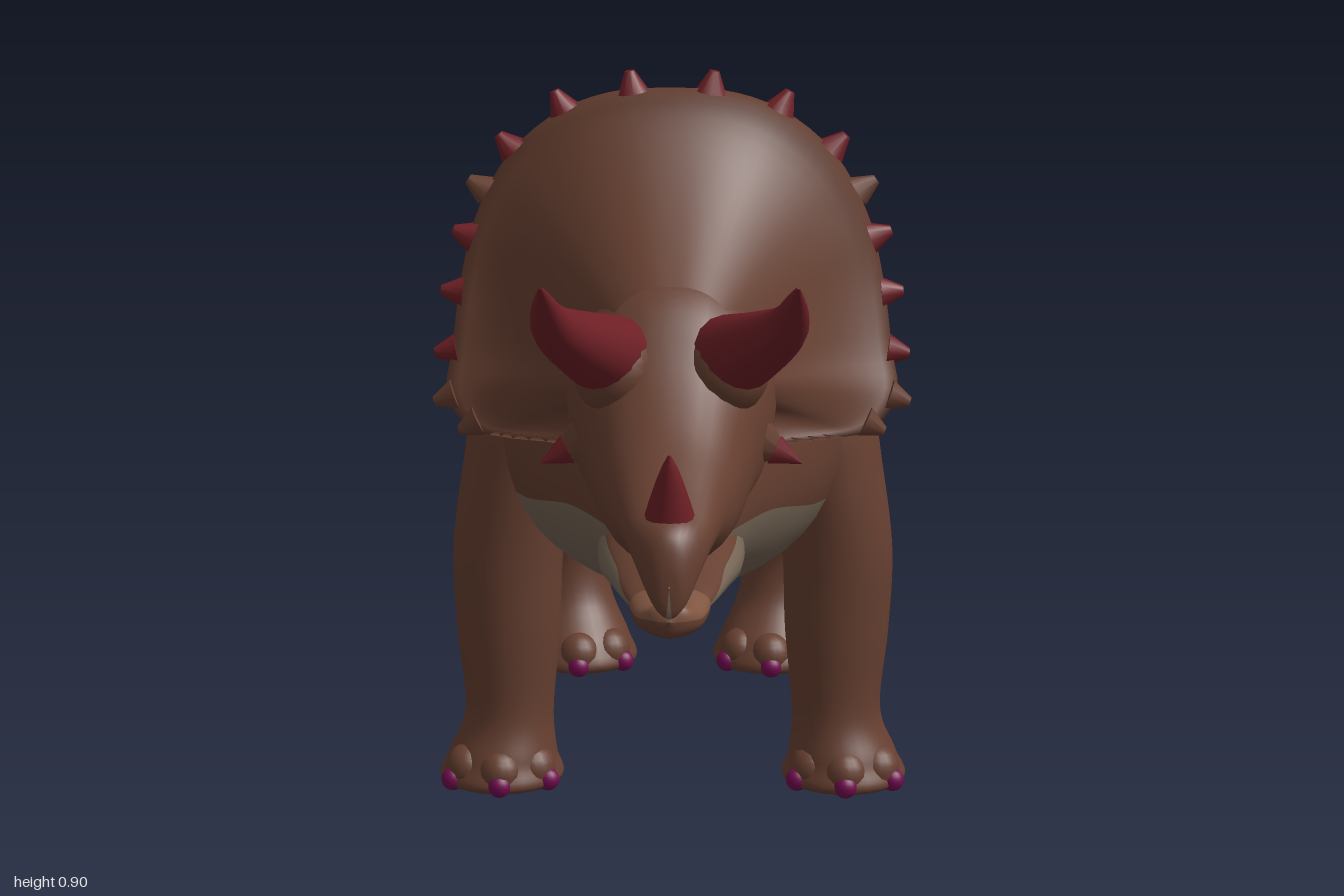
import * as THREE from 'three';

const paint = (name, color) => Object.assign(new THREE.MeshStandardMaterial({ color }), { name });
const V = (x, y, z) => new THREE.Vector3(x, y, z);

// Smooth interpolation through a short list of cross-section rows, v in 0..1
function sampler(rows) {
  const f = new THREE.CubicInterpolant(rows.map((_, i) => i), rows.flat(), rows[0].length);
  return v => Array.from(f.evaluate(v * (rows.length - 1)));
}

// Surface from point(u, v); pick(u, v) gives the material index of each cell
function surface(nu, nv, closed, point, pick) {
  const pos = [], buckets = [[], [], []], cols = closed ? nu : nu + 1;
  for (let j = 0; j <= nv; j++)
    for (let i = 0; i < cols; i++) pos.push(...point(i / nu, j / nv));
  for (let j = 0; j < nv; j++)
    for (let i = 0; i < nu; i++) {
      const a = j * cols + i, b = j * cols + (i + 1) % cols, c = a + cols, d = b + cols;
      buckets[pick((i + 0.5) / nu, (j + 0.5) / nv)].push(a, b, c, b, d, c);
    }
  const g = new THREE.BufferGeometry();
  g.setAttribute('position', new THREE.Float32BufferAttribute(pos, 3));
  g.setIndex(buckets.flat());
  let start = 0;
  buckets.forEach((b, m) => {
    if (b.length) g.addGroup(start, b.length, m);
    start += b.length;
  });
  g.computeVertexNormals();
  return g;
}

// Loft along z from rows [z, top, bottom, halfWidth, bellyLine]; the belly is material 1
function loftZ(rows, nv) {
  const at = sampler(rows), split = 0.62, power = 0.9;
  return surface(44, nv, true, (u, v) => {
    const [z, top, bot, hw, belly] = at(v);
    const cy = (top + bot) / 2, ry = Math.max((top - bot) / 2, 0.001);
    const k = THREE.MathUtils.clamp((belly - cy) / ry, -0.98, 0.5);
    const a0 = Math.asin(Math.sign(k) * Math.abs(k) ** (1 / power));
    const th = u < split ? a0 + (Math.PI - 2 * a0) * u / split
      : Math.PI - a0 + (Math.PI + 2 * a0) * (u - split) / (1 - split);
    const c = Math.cos(th), s = Math.sin(th);
    // the underside is a little keeled
    return [Math.sign(c) * Math.abs(c) ** (s < 0 ? 1.15 : power) * Math.max(hw, 0.001),
      cy + ry * Math.sign(s) * Math.abs(s) ** power, z];
  }, u => (u < split ? 0 : 1));
}

// Curved horn that tapers to a point
function horn(points, r) {
  const curve = new THREE.CatmullRomCurve3(points), n = 20, sides = 16;
  const g = new THREE.TubeGeometry(curve, n, r, sides), p = g.attributes.position, v = V(0, 0, 0);
  for (let i = 0; i < p.count; i++) {
    const t = Math.floor(i / (sides + 1)) / n, c = curve.getPointAt(t);
    v.fromBufferAttribute(p, i).sub(c).multiplyScalar(Math.max(1 - t, 0.01) ** 0.75).add(c);
    p.setXYZ(i, v.x, v.y, v.z);
  }
  g.computeVertexNormals();
  return g;
}

export function createModel() {
  const model = new THREE.Group();
  const brown = paint('brown hide', 0x663f30), tan = paint('belly hide', 0x766656);
  const red = paint('red horn', 0x6e2026), purple = paint('purple claw', 0x720a50);
  const lip = paint('lip', 0x7d543f), frillBack = paint('frill back', 0x604535);
  const hide = [brown, tan];

  const add = (name, geometry, material, parent = model) => {
    const m = new THREE.Mesh(geometry, material);
    m.name = name;
    parent.add(m);
    return m;
  };
  const blob = (name, material, p, size, parent) => {
    const m = add(name, new THREE.SphereGeometry(1, 18, 12), material, parent);
    m.position.set(...p);
    m.scale.set(...size);
  };
  const spike = (name, material, base, dir, r, h, tip = 0) => {
    const m = add(name, new THREE.CylinderGeometry(tip, r, h, 10).translate(0, h / 2, 0), material);
    m.position.copy(base);
    m.quaternion.setFromUnitVectors(V(0, 1, 0), dir.normalize());
  };

  // Tail, trunk and neck
  add('body', loftZ([
    [-1, 0.126, 0.124, 0.001, 0.118], [-0.985, 0.145, 0.11, 0.018, 0.113],
    [-0.9, 0.15, 0.108, 0.026, 0.111], [-0.8, 0.175, 0.112, 0.045, 0.12],
    [-0.7, 0.245, 0.122, 0.063, 0.15], [-0.6, 0.325, 0.165, 0.08, 0.2],
    [-0.5, 0.435, 0.21, 0.093, 0.26], [-0.4, 0.57, 0.255, 0.118, 0.345],
    [-0.3, 0.67, 0.295, 0.165, 0.39], [-0.2, 0.735, 0.29, 0.22, 0.37],
    [-0.1, 0.775, 0.27, 0.237, 0.37], [0, 0.79, 0.25, 0.237, 0.37],
    [0.1, 0.79, 0.235, 0.234, 0.37], [0.2, 0.782, 0.235, 0.235, 0.39],
    [0.3, 0.765, 0.248, 0.232, 0.395], [0.4, 0.71, 0.255, 0.218, 0.385],
    [0.48, 0.645, 0.275, 0.185, 0.385], [0.58, 0.6, 0.305, 0.125, 0.405],
    [0.68, 0.55, 0.335, 0.08, 0.41], [0.74, 0.47, 0.38, 0.05, 0.41],
    [0.745, 0.43, 0.428, 0.001, 0.41]], 96), hide);

  // Upper head with hooked beak
  add('head', loftZ([
    [0.48, 0.6, 0.52, 0.03, 0.4], [0.53, 0.68, 0.43, 0.11, 0.4], [0.6, 0.71, 0.4, 0.12, 0.4],
    [0.66, 0.7, 0.39, 0.118, 0.395], [0.71, 0.67, 0.39, 0.104, 0.39],
    [0.76, 0.61, 0.388, 0.09, 0.385], [0.82, 0.56, 0.4, 0.076, 0.38],
    [0.88, 0.525, 0.425, 0.06, 0.38], [0.93, 0.5, 0.43, 0.048, 0.38],
    [0.96, 0.49, 0.408, 0.036, 0.38], [0.977, 0.475, 0.388, 0.024, 0.38],
    [0.985, 0.45, 0.395, 0.013, 0.38], [0.987, 0.426, 0.424, 0.001, 0.38]], 56), hide);

  // Lower jaw, its beak and the mouth floor
  add('lowerJaw', loftZ([
    [0.58, 0.43, 0.31, 0.085, 0.41], [0.7, 0.42, 0.332, 0.083, 0.4],
    [0.78, 0.404, 0.348, 0.068, 0.39], [0.85, 0.39, 0.356, 0.05, 0.375],
    [0.9, 0.375, 0.362, 0.03, 0.37], [0.902, 0.37, 0.368, 0.001, 0.37]], 24), hide);
  add('lowerBeak', loftZ([
    [0.85, 0.38, 0.362, 0.03, 0.372], [0.87, 0.392, 0.354, 0.045, 0.374],
    [0.91, 0.386, 0.348, 0.038, 0.37], [0.934, 0.391, 0.353, 0.022, 0.372],
    [0.942, 0.373, 0.371, 0.001, 0.372]], 24), [lip, brown]);
  blob('mouthFloor', tan, [0, 0.387, 0.88], [0.024, 0.009, 0.042]);
  add('noseHorn', horn([V(0, 0.45, 0.92), V(0, 0.51, 0.942), V(0, 0.567, 0.966)], 0.038), red);

  // Neck frill: back sheet runs out to the rim, front sheet runs in to the head
  const half = [[0.07, 0.885, 0.505], [0.13, 0.862, 0.5], [0.188, 0.812, 0.49], [0.228, 0.74, 0.485],
    [0.248, 0.66, 0.49], [0.258, 0.58, 0.51], [0.264, 0.53, 0.53], [0.235, 0.495, 0.555],
    [0.19, 0.49, 0.58], [0.12, 0.492, 0.63], [0.08, 0.47, 0.66]];
  const rim = new THREE.CatmullRomCurve3([
    ...half.map(p => V(...p)).reverse(), V(0, 0.89, 0.508),
    ...half.map(([x, y, z]) => V(-x, y, z))]);
  const frillPoint = (u, v) => {
    const r = rim.getPoint(u), s = Math.abs(2 * v - 1), back = v < 0.5;
    const z = back ? r.z - 0.028 * Math.min(1, s * 8) + 0.05 * s * s
      : r.z + (0.69 - r.z) * s ** 1.5;
    const pull = back ? 0.9 : 0.68;
    return [r.x * (1 - pull * s), r.y + (0.6 - r.y) * pull * s, z];
  };
  add('frill', surface(80, 24, false, frillPoint,
    (u, v) => (v > 0.46 ? 0 : frillPoint(u, v)[1] < 0.63 ? 1 : 2)), [brown, tan, frillBack]);

  // Knobs on the frill rim: x, y, z, and 1 for red
  const knobs = [[0.045, 0.883, 0.5, 1], [0.125, 0.861, 0.495, 1], [0.185, 0.812, 0.485, 1],
    [0.217, 0.763, 0.48, 0], [0.233, 0.708, 0.482, 1], [0.246, 0.643, 0.486, 1],
    [0.253, 0.578, 0.502, 1], [0.254, 0.53, 0.53, 0], [0.225, 0.503, 0.55, 0]];

  // Legs as rows [y, x, z, radiusX, radiusZ] from hip to sole
  const legs = {
    front: { foot: [0.21, 0.375], rows: [
      [0.64, 0.11, 0.33, 0.01, 0.02], [0.58, 0.135, 0.335, 0.065, 0.09], [0.49, 0.165, 0.35, 0.074, 0.1],
      [0.4, 0.187, 0.362, 0.068, 0.085], [0.3, 0.2, 0.373, 0.067, 0.067],
      [0.2, 0.2, 0.375, 0.063, 0.06], [0.1, 0.2, 0.373, 0.054, 0.058],
      [0.045, 0.208, 0.375, 0.066, 0.072], [0.012, 0.21, 0.375, 0.072, 0.077],
      [0.006, 0.21, 0.375, 0.001, 0.001]] },
    hind: { foot: [0.127, -0.125], rows: [
      [0.71, 0.09, -0.12, 0.01, 0.02], [0.66, 0.12, -0.115, 0.075, 0.1], [0.58, 0.148, -0.105, 0.09, 0.145],
      [0.49, 0.172, -0.09, 0.088, 0.158], [0.4, 0.197, -0.075, 0.083, 0.143],
      [0.32, 0.185, -0.095, 0.075, 0.105], [0.25, 0.165, -0.125, 0.06, 0.068],
      [0.17, 0.145, -0.145, 0.05, 0.046], [0.1, 0.135, -0.145, 0.05, 0.05],
      [0.045, 0.127, -0.127, 0.066, 0.072], [0.012, 0.127, -0.125, 0.072, 0.077],
      [0.006, 0.127, -0.125, 0.001, 0.001]] },
  };

  for (const s of [1, -1]) {
    const side = s > 0 ? 'left' : 'right';

    // Head details
    add(`${side}BrowHorn`, horn([V(s * 0.06, 0.612, 0.7), V(s * 0.1, 0.652, 0.8),
      V(s * 0.128, 0.693, 0.89), V(s * 0.137, 0.758, 1)], 0.05), red);
    blob(`${side}Brow`, brown, [s * 0.064, 0.605, 0.72], [0.048, 0.052, 0.055]);
    spike(`${side}Cheek`, brown, V(s * 0.09, 0.515, 0.675), V(s, -0.5, 0.1), 0.036, 0.055);
    spike(`${side}CheekSpike`, red, V(s * 0.118, 0.501, 0.678), V(s, -0.5, 0.12), 0.018, 0.036);
    for (const [x, y, z, isRed] of knobs)
      spike(`${side}FrillKnob`, isRed ? red : brown, V(s * x, y, z), V(s * x, y - 0.62, 0), 0.019, 0.026, 0.006);

    for (const [kind, { rows, foot }] of Object.entries(legs)) {
      const leg = new THREE.Group(), at = sampler(rows);
      leg.name = `${side}${kind}Leg`;
      model.add(leg);
      // Limb, with pale sole and pale back of the hind shin
      add('limb', surface(32, 66, true, (u, v) => {
        const [y, x, z, rx, rz] = at(v), th = u * 2 * Math.PI;
        return [s * x + Math.cos(th) * rx, Math.max(y, 0.005), z + Math.sin(th) * rz];
      }, (u, v) => {
        const y = at(v)[0], out = Math.cos(u * 2 * Math.PI) * s, fore = Math.sin(u * 2 * Math.PI);
        if (v > 1 - 1 / (rows.length - 1)) return 1;
        // pale patch narrows towards the ankle
        const pale = fore < (out < 0 ? 0.1 : -0.1) - Math.abs(y - 0.24) * 4;
        return kind === 'hind' && y > 0.1 && y < 0.33 && pale ? 1 : 0;
      }), hide, leg);
      // Toes and claws
      for (const a of [-0.9, 0, 0.9]) {
        const dx = Math.sin(a), dz = Math.cos(a), [x, z] = foot;
        blob('toe', brown, [s * x + dx * 0.05, 0.034, z + dz * 0.054], [0.028, 0.029, 0.03], leg);
        blob('claw', purple, [s * x + dx * 0.074, 0.022, z + dz * 0.077], [0.014, 0.014, 0.012], leg);
      }
    }
  }
  return model;
}
